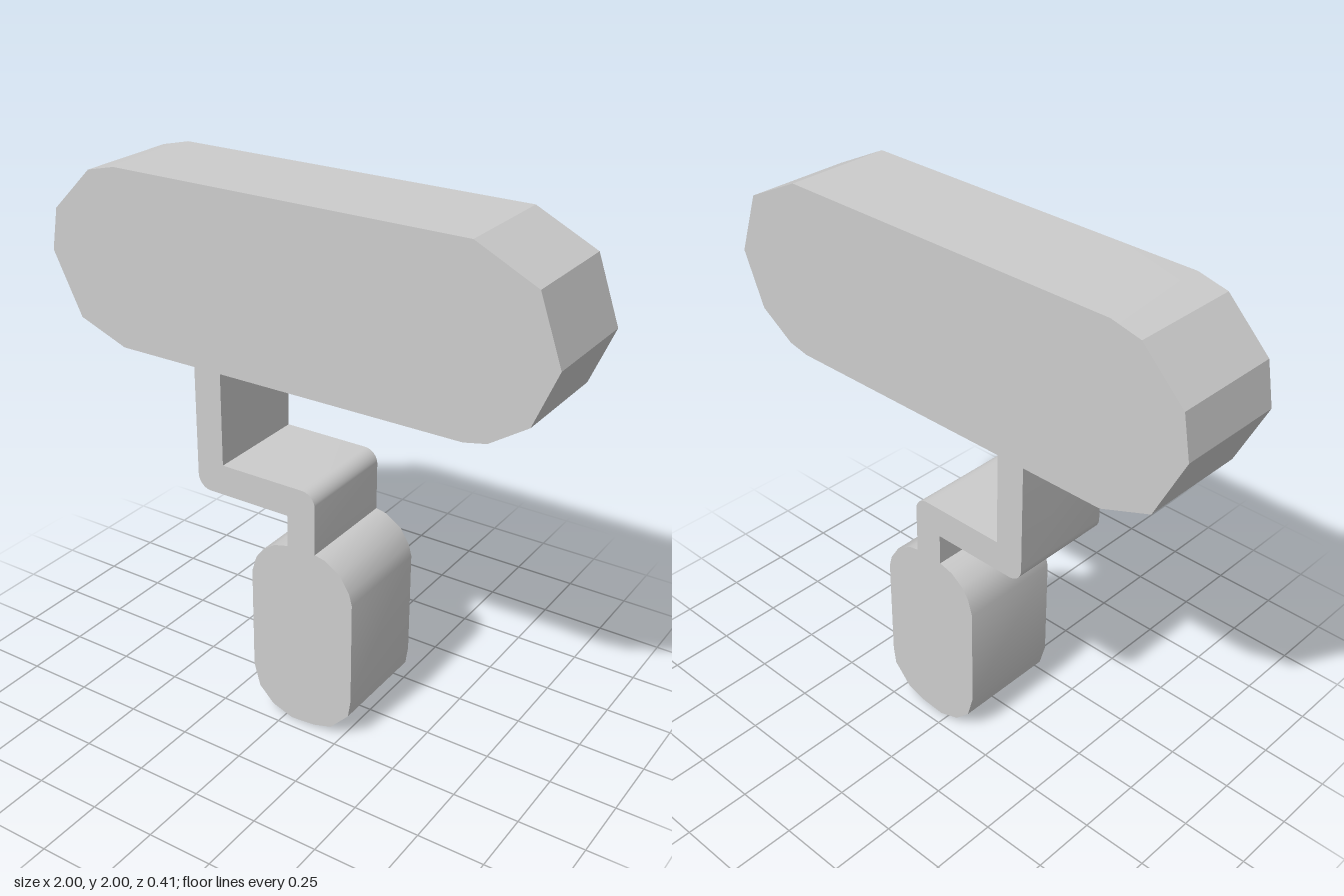
import * as THREE from 'three';
import { toCreasedNormals } from 'three/addons/utils/BufferGeometryUtils.js';

const DEPTH = 0.41;
const material = new THREE.MeshStandardMaterial({ color: 0xcccccc });

// Flat slab with the given front outline, centred on z = 0
function slab(name, shape) {
  const geometry = new THREE.ExtrudeGeometry(shape, { depth: DEPTH, bevelEnabled: false, curveSegments: 5 });
  geometry.translate(0, 0, -DEPTH / 2);
  const mesh = new THREE.Mesh(toCreasedNormals(geometry, 0.45), material);
  mesh.name = name;
  return mesh;
}

const outline = (points) => new THREE.Shape(points.map(([x, y]) => new THREE.Vector2(x, y)));

export function createModel() {
  const group = new THREE.Group();
  group.name = 'paintRoller';

  // Wide faceted roller
  group.add(slab('roller', outline([
    [-0.69, 1.34], [0.69, 1.34], [0.775, 1.358], [0.915, 1.45], [1, 1.655], [0.915, 1.89],
    [0.69, 2], [-0.69, 2], [-0.805, 1.973], [-0.97, 1.81], [-1, 1.65], [-0.885, 1.415],
  ])));

  // Cranked arm with two rounded outer corners
  const arm = new THREE.Shape();
  const r = 0.055;
  arm.moveTo(-0.372, 1.34);
  arm.lineTo(-0.372, 0.867 + r);
  arm.absarc(-0.372 + r, 0.867 + r, r, Math.PI, Math.PI * 1.5, false);
  arm.lineTo(0.018, 0.867);
  arm.lineTo(0.018, 0.745);
  arm.lineTo(0.134, 0.745);
  arm.lineTo(0.134, 0.985 - r);
  arm.absarc(0.134 - r, 0.985 - r, r, 0, Math.PI / 2, false);
  arm.lineTo(-0.26, 0.985);
  arm.lineTo(-0.26, 1.34);
  group.add(slab('arm', arm));

  // Rounded grip
  group.add(slab('handle', outline([
    [0.018, 0.745], [-0.04, 0.73], [-0.09, 0.695], [-0.12, 0.655], [-0.14, 0.59], [-0.14, 0.18],
    [-0.115, 0.09], [-0.055, 0.03], [0.03, 0], [0.13, 0.008], [0.205, 0.03], [0.28, 0.11],
    [0.29, 0.18], [0.29, 0.59], [0.278, 0.635], [0.24, 0.695], [0.175, 0.737], [0.134, 0.745],
  ])));

  return group;
}
